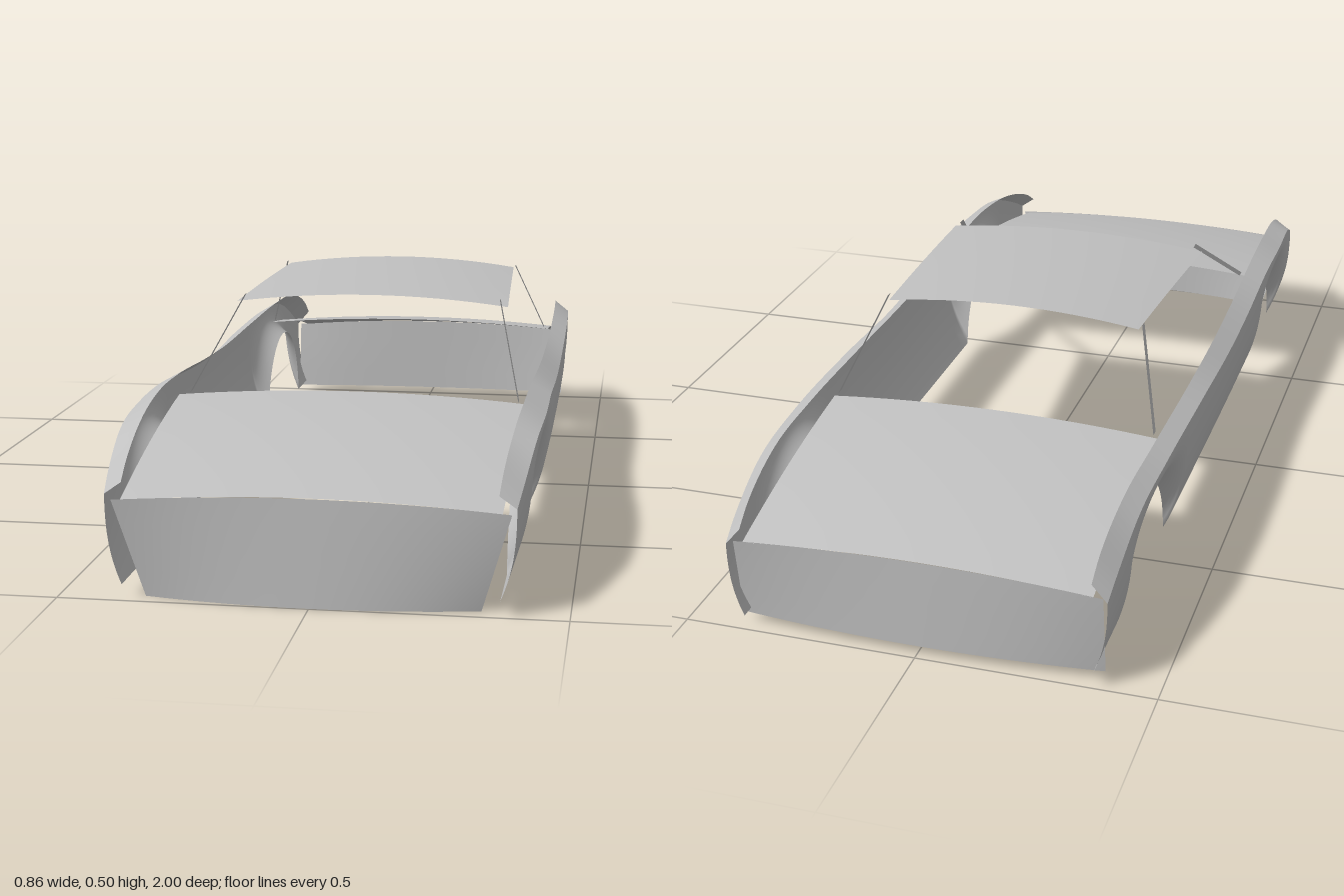
import * as THREE from 'three';

const bodyGrey = new THREE.MeshStandardMaterial({ color: 0xc0c0c0, side: THREE.DoubleSide });
bodyGrey.name = 'bodyGrey';

// Smooth sheet through fn(i, j) -> [x, y, z]; flip reverses the facing.
function sheet(name, nu, nv, fn, flip = false) {
  const pos = [], idx = [];
  for (let i = 0; i <= nu; i++)
    for (let j = 0; j <= nv; j++) pos.push(...fn(i, j));
  for (let i = 0; i < nu; i++)
    for (let j = 0; j < nv; j++) {
      const a = i * (nv + 1) + j, b = a + nv + 1, c = b + 1, d = a + 1;
      if (flip) idx.push(a, c, b, a, d, c);
      else idx.push(a, b, c, a, c, d);
    }
  const geo = new THREE.BufferGeometry();
  geo.setAttribute('position', new THREE.Float32BufferAttribute(pos, 3));
  geo.setIndex(idx);
  geo.computeVertexNormals();
  const mesh = new THREE.Mesh(geo, bodyGrey);
  mesh.name = name;
  return mesh;
}

const lerp = THREE.MathUtils.lerp;

// Fender rails along the car: shoulder x, y and inner edge x, y at each z
const railZ = [-1, -0.95, -0.8, -0.6, -0.3, 0, 0.2, 0.45, 0.62, 0.8, 0.95, 1];
const railXY = [
  0.397, 0.198, 0.365, 0.235,
  0.401, 0.228, 0.367, 0.27,
  0.409, 0.288, 0.374, 0.317,
  0.417, 0.305, 0.381, 0.326,
  0.423, 0.302, 0.386, 0.322,
  0.425, 0.29, 0.387, 0.318,
  0.427, 0.297, 0.387, 0.325,
  0.429, 0.317, 0.386, 0.34,
  0.429, 0.314, 0.384, 0.34,
  0.42, 0.297, 0.376, 0.317,
  0.405, 0.24, 0.367, 0.268,
  0.398, 0.214, 0.364, 0.238,
];
const rails = new THREE.CubicInterpolant(railZ, railXY, 4, new Float32Array(4));
const railAt = z => Array.from(rails.evaluate(z));

// Lower edge of the sides: straight sill with two round wheel arches
const SILL = 0.033, ARCH_R = 0.217, ARCH_Y = 0.02;
function lowerEdge() {
  const pts = [];
  const straight = (z0, z1, n) => {
    for (let k = 0; k < n; k++) pts.push([lerp(z0, z1, k / n), SILL]);
  };
  const a0 = Math.asin((SILL - ARCH_Y) / ARCH_R), half = ARCH_R * Math.cos(a0);
  const arch = zc => {
    for (let k = 0; k < 32; k++) {
      const a = lerp(Math.PI - a0, a0, k / 32);
      pts.push([zc + ARCH_R * Math.cos(a), ARCH_Y + ARCH_R * Math.sin(a)]);
    }
  };
  straight(-1, -0.627 - half, 8);
  arch(-0.627);
  straight(-0.627 + half, 0.62 - half, 20);
  arch(0.62);
  straight(0.62 + half, 1, 8);
  pts.push([1, SILL]);
  return pts;
}

// Crowned panel between a back edge and a front edge: {z, x, side, mid}
function crowned(name, back, front, bulge) {
  const n = 10, m = 16;
  return sheet(name, n, m, (i, j) => {
    const t = i / n, s = 2 * j / m - 1;
    const mix = k => lerp(back[k], front[k], t);
    const y = lerp(mix('mid'), mix('side'), s * s) + bulge * 4 * t * (1 - t);
    return [s * mix('x'), y, mix('z')];
  });
}

// Upright end panel; dir is +1 at the front and -1 at the back
function endPanel(name, dir, low, top) {
  const m = 16, n = 4;
  return sheet(name, m, n, (i, j) => {
    const s = 2 * i / m - 1, t = j / n, bow = 1 - s * s;
    return [
      dir * s * lerp(low.x, top.x, t),
      lerp(low.y, top.y + 0.016 * bow, t),
      dir * lerp(low.z + low.bow * bow, top.z, t),
    ];
  });
}

export function createModel() {
  const car = new THREE.Group();
  car.name = 'carBody';
  const edge = lowerEdge(), n = edge.length - 1;

  for (const sx of [1, -1]) {
    const label = sx > 0 ? 'left' : 'right', flip = sx < 0;

    // Curved side, tucking in toward the sill and the arches
    car.add(sheet(label + 'Side', n, 14, (i, j) => {
      const [z, low] = edge[i], [x, y] = railAt(z), t = j / 14;
      return [sx * (x - (x - 0.368) * Math.pow(t, 2.6)), lerp(y, low, t), z];
    }, flip));

    // Sloped fender top
    car.add(sheet(label + 'FenderTop', n, 2, (i, j) => {
      const z = edge[i][0], [xo, yo, xi, yi] = railAt(z), t = j / 2;
      return [sx * lerp(xi, xo, t), lerp(yi, yo, t), z];
    }, flip));

    // Thin flat roof pillars
    const pillar = (name, foot, head, w) => car.add(sheet(name, 1, 1, (i, j) => {
      const p = j ? foot : head;
      return [sx * p[0], p[1], p[2] + (i - 0.5) * w];
    }, flip));
    pillar(label + 'FrontPillar', [0.36, 0.3, 0.452], [0.296, 0.475, 0.175], 0.024);
    pillar(label + 'RearPillar', [0.36, 0.3, -0.48], [0.294, 0.482, -0.328], 0.02);
  }

  // Hood, rear deck and roof
  car.add(crowned('hood',
    { z: 0.455, x: 0.386, side: 0.294, mid: 0.312 },
    { z: 0.99, x: 0.37, side: 0.2, mid: 0.217 }, 0.01));
  car.add(crowned('rearDeck',
    { z: -0.99, x: 0.366, side: 0.2, mid: 0.217 },
    { z: -0.487, x: 0.37, side: 0.292, mid: 0.309 }, 0.01));
  car.add(crowned('roof',
    { z: -0.345, x: 0.288, side: 0.475, mid: 0.497 },
    { z: 0.18, x: 0.314, side: 0.459, mid: 0.48 }, 0.003));

  // Front and rear panels
  car.add(endPanel('frontPanel', 1,
    { x: 0.33, y: 0, z: 0.965, bow: 0.033 }, { x: 0.388, y: 0.2, z: 0.992 }));
  car.add(endPanel('rearPanel', -1,
    { x: 0.386, y: 0.02, z: 0.965, bow: 0.022 }, { x: 0.386, y: 0.2, z: 0.99 }));

  return car;
}
